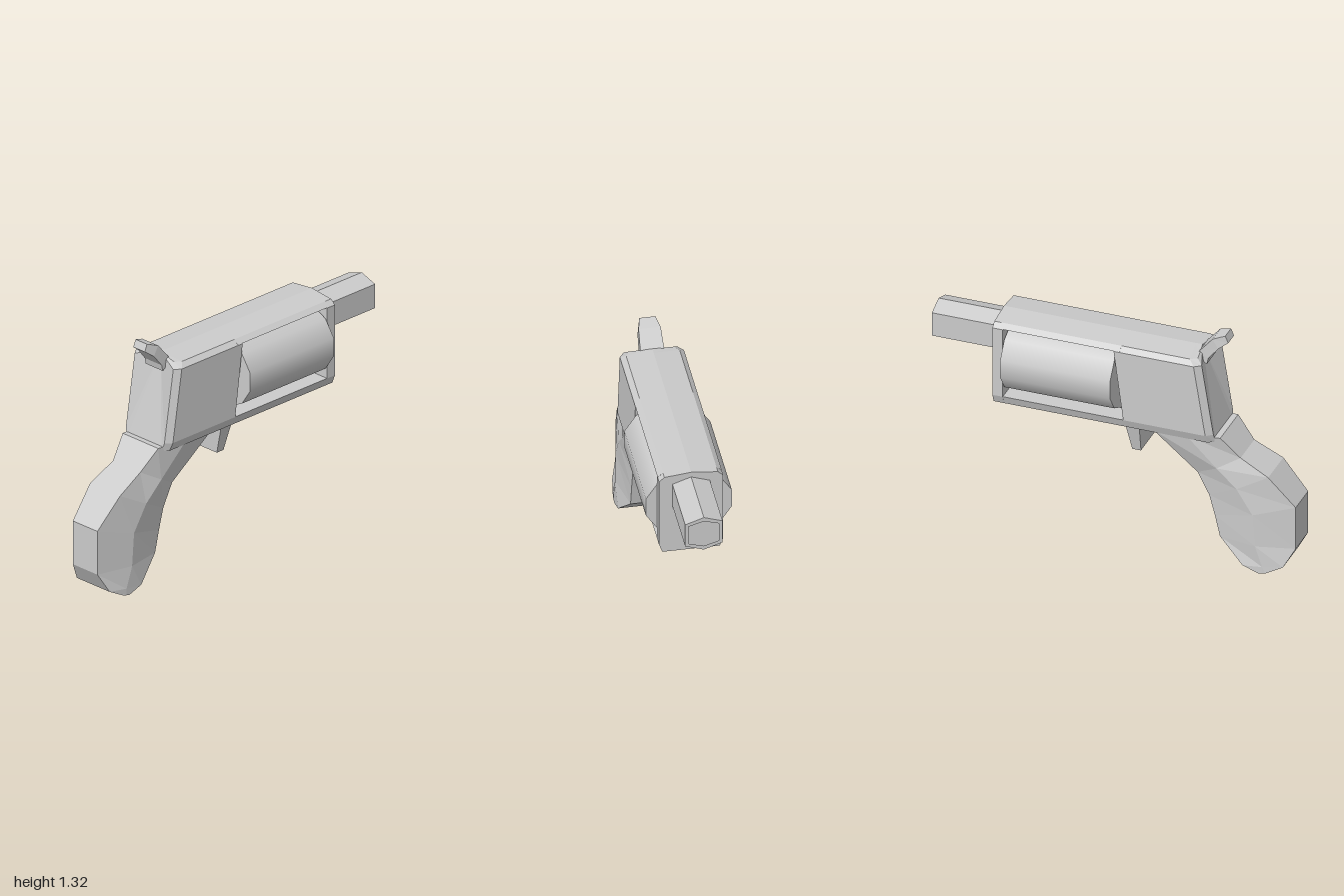
import * as THREE from 'three';

const flatMat = new THREE.MeshStandardMaterial({ color: 0xcccccc, flatShading: true });
const smoothMat = new THREE.MeshStandardMaterial({ color: 0xcccccc });

// Closed solid through a series of rings with equal point counts, capped at both ends
function loft(rings) {
  const n = rings[0].length, last = (rings.length - 1) * n;
  const points = rings.flat().map(p => new THREE.Vector3(...p));
  const tris = [];
  for (let r = 0; r < rings.length - 1; r++) {
    for (let i = 0; i < n; i++) {
      const a = r * n + i, b = r * n + (i + 1) % n;
      tris.push([a, b, b + n], [a, b + n, a + n]);
    }
  }
  for (let i = 1; i < n - 1; i++) tris.push([0, i + 1, i], [last, last + i, last + i + 1]);
  // Turn the faces outward if the enclosed volume comes out negative
  const volume = tris.reduce((s, [a, b, c]) =>
    s + points[a].dot(points[b].clone().cross(points[c])), 0);
  if (volume < 0) tris.forEach(t => t.reverse());
  const geo = new THREE.BufferGeometry().setFromPoints(tris.flat().map(i => points[i]));
  geo.computeVertexNormals();
  return geo;
}

// Mirror half an outline of [z, y] points across z = 0
const mirror = half => [...half, ...half.filter(p => p[0] > 0).reverse().map(([z, y]) => [-z, y])];
// Ring from a [z, y] outline, x given by a function of height
const slice = (outline, xAt, zScale = 1) => outline.map(([z, y]) => [xAt(y), y, z * zScale]);
// Rectangular ring between two [x, y] points
const bar = ([x1, y1], [x2, y2], w) => [[x1, y1, w], [x2, y2, w], [x2, y2, -w], [x1, y1, -w]];

export function createModel() {
  const model = new THREE.Group();
  const add = (name, geo, mat = flatMat) => {
    const mesh = new THREE.Mesh(geo, mat);
    mesh.name = name;
    model.add(mesh);
  };

  // Frame: slanted rear block, top strap, bottom strap and front plate around an open window
  const section = mirror([[0, 1.225], [0.14, 1.21], [0.168, 1.185], [0.168, 0.785], [0.15, 0.738]]);
  const topSection = mirror([[0, 1.225], [0.14, 1.21], [0.168, 1.187]]);
  const bottomSection = mirror([[0.168, 0.786], [0.15, 0.738]]);
  const rearX = y => y > 1.18 ? -0.508 + (y - 1.18) * 1.2 : -0.567 + (y - 0.78) * 0.148;
  const windowX = y => -0.08 + (y - 0.786) * 0.132;
  add('frameRear', loft([
    slice(section, rearX, 0.84),
    slice(section, y => rearX(y) + 0.035),
    slice(section, windowX),
  ]));
  add('topStrap', loft([slice(topSection, () => -0.06), slice(topSection, () => 0.6)]));
  add('bottomStrap', loft([slice(bottomSection, () => -0.12), slice(bottomSection, () => 0.6)]));
  add('frontPlate', loft([slice(section, () => 0.583), slice(section, () => 0.64)]));

  // Drum: twelve sides, smooth shaded, wider than tall
  const drum = new THREE.CylinderGeometry(0.2, 0.2, 0.605, 12, 1, false, Math.PI / 12);
  drum.rotateZ(Math.PI / 2).scale(1, 1, 1.165).translate(0.273, 0.985, 0);
  add('drum', drum, smoothMat);

  // Six-sided hollow barrel
  const hex = (w, h, tip) => [[0, tip], [w, h], [w, -h], [0, -tip], [-w, -h], [-w, h]]
    .map(p => new THREE.Vector2(...p));
  const tube = new THREE.Shape(hex(0.098, 0.068, 0.102));
  tube.holes.push(new THREE.Path(hex(0.08, 0.054, 0.078)));
  const barrel = new THREE.ExtrudeGeometry(tube, { depth: 0.38, bevelEnabled: false });
  barrel.rotateY(Math.PI / 2).translate(0.62, 1.093, 0);
  add('barrel', barrel);

  // Grip: back point, front point, then half widths at back, middle and front
  const grip = [
    [-0.6, 0.765, -0.24, 0.745, 0.13, 0.15, 0.145],
    [-0.7, 0.652, -0.46, 0.513, 0.1, 0.133, 0.09],
    [-0.856, 0.572, -0.524, 0.39, 0.11, 0.133, 0.09],
    [-1, 0.412, -0.555, 0.275, 0.09, 0.133, 0.09],
    [-1, 0.166, -0.583, 0.155, 0.09, 0.133, 0.09],
    [-0.941, 0.059, -0.722, 0.032, 0.12, 0.133, 0.13],
    [-0.85, 0.012, -0.81, 0.004, 0.133, 0.133, 0.133],
  ];
  add('grip', loft(grip.map(([bx, by, fx, fy, wb, wm, wf]) => {
    const mx = (bx + fx) / 2, my = (by + fy) / 2;
    return [[bx, by, wb], [mx, my, wm], [fx, fy, wf], [fx, fy, -wf], [mx, my, -wm], [bx, by, -wb]];
  })));

  // Trigger: broad tapered blade
  add('trigger', loft([
    bar([-0.16, 0.77], [-0.08, 0.77], 0.15),
    bar([-0.155, 0.587], [-0.107, 0.587], 0.108),
  ]));

  // Hammer: bent spur leaning backwards
  add('hammer', loft([
    bar([-0.5, 1.15], [-0.44, 1.19], 0.062),
    bar([-0.508, 1.185], [-0.46, 1.222], 0.062),
    bar([-0.56, 1.25], [-0.53, 1.303], 0.058),
    bar([-0.61, 1.287], [-0.594, 1.326], 0.042),
  ]));

  return model;
}
